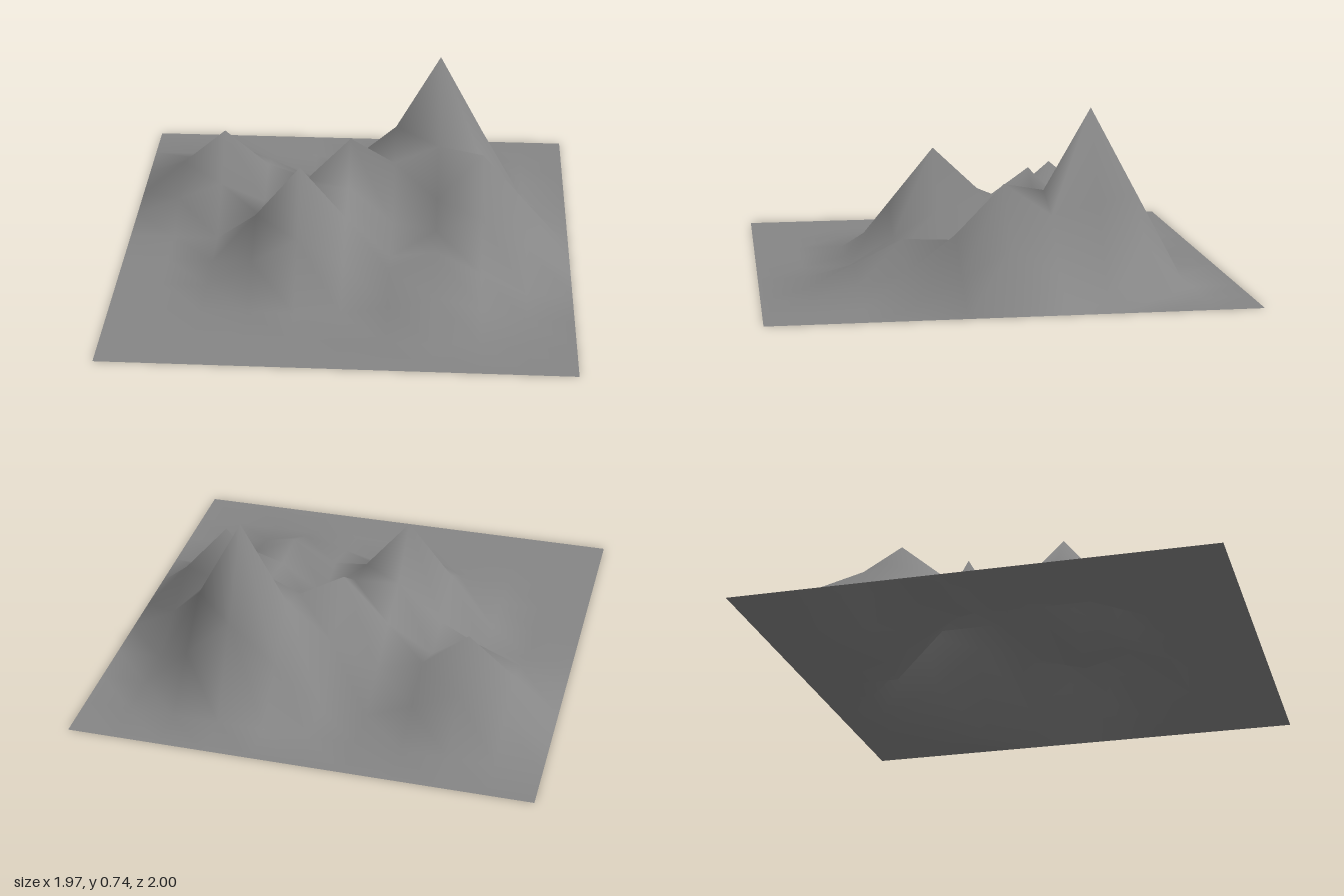
import * as THREE from 'three';

const CELLS = 10;
const SIDE = CELLS + 1;
const HALF_X = 0.986;
const HALF_Z = 1;

// Peaks as [column, row, height]; column 0 is at -x, row 0 at the back
const PEAKS = [
  [7, 3, 0.74],
  [2, 3, 0.34],
  [7, 7, 0.2],
  [8, 5, 0.46],
  [5, 4, 0.42],
  [4, 6, 0.485],
];

// Each peak pulls its neighbours halfway up, and its diagonal neighbours a quarter
function terrainHeight(col, row) {
  let h = 0;
  for (const [pc, pr, peak] of PEAKS) {
    const weight = Math.max(0, 1 - Math.abs(col - pc) / 2) * Math.max(0, 1 - Math.abs(row - pr) / 2);
    h += (peak - h) * weight;
  }
  return h;
}

function terrainGeometry() {
  const points = [];
  for (let row = 0; row < SIDE; row++) {
    for (let col = 0; col < SIDE; col++) {
      points.push(new THREE.Vector3(
        (col / CELLS * 2 - 1) * HALF_X,
        terrainHeight(col, row),
        (row / CELLS * 2 - 1) * HALF_Z,
      ));
    }
  }

  // Cells are split from back left to front right; each vertex averages the
  // normals of its whole cells, so the slopes shade evenly on all sides
  const index = [];
  const normals = points.map(() => new THREE.Vector3());
  for (let row = 0; row < CELLS; row++) {
    for (let col = 0; col < CELLS; col++) {
      const a = row * SIDE + col, b = a + SIDE, c = b + 1, d = a + 1;
      index.push(a, b, c, a, c, d);
      const ac = points[c].clone().sub(points[a]);
      const bd = points[d].clone().sub(points[b]);
      const cellNormal = ac.cross(bd).normalize();
      for (const corner of [a, b, c, d]) normals[corner].add(cellNormal);
    }
  }

  const flat = (vectors) => new THREE.Float32BufferAttribute(vectors.flatMap((v) => v.toArray()), 3);
  const geometry = new THREE.BufferGeometry();
  geometry.setAttribute('position', flat(points));
  geometry.setAttribute('normal', flat(normals.map((v) => v.normalize())));
  geometry.setIndex(index);
  return geometry;
}

export function createModel() {
  const group = new THREE.Group();
  group.name = 'mountainTerrain';
  // Open sheet of dark grey rock, seen from above and below
  const material = new THREE.MeshStandardMaterial({ color: 0x868686, side: THREE.DoubleSide });
  const terrain = new THREE.Mesh(terrainGeometry(), material);
  terrain.name = 'mountains';
  group.add(terrain);
  return group;
}
